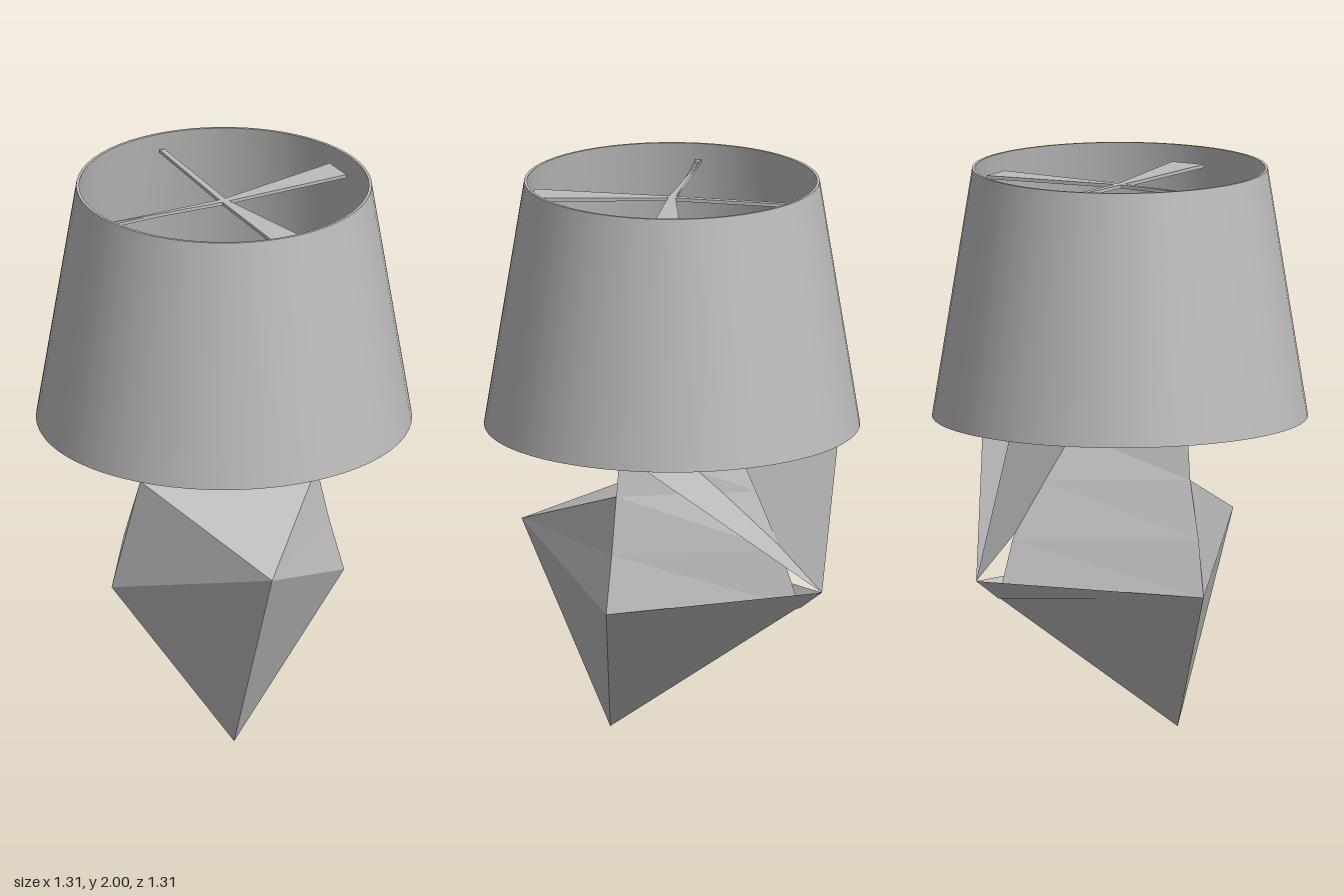
import * as THREE from 'three';

// Flat-faced surface from convex polygons of [x, y, z] corners
function facets(polygons) {
  const pos = [];
  for (const p of polygons)
    for (let i = 1; i < p.length - 1; i++) pos.push(...p[0], ...p[i], ...p[i + 1]);
  const g = new THREE.BufferGeometry();
  g.setAttribute('position', new THREE.Float32BufferAttribute(pos, 3));
  g.computeVertexNormals();
  return g;
}

export function createModel() {
  const model = new THREE.Group();
  const grey = new THREE.MeshStandardMaterial({ color: 0xbcbcbc, side: THREE.DoubleSide });
  grey.name = 'grey';
  const add = (name, geometry) => {
    const m = new THREE.Mesh(geometry, grey);
    m.name = name;
    model.add(m);
  };

  // Thin tapered shade, each wall strip its own lathe so the rims stay sharp
  const section = [[0.655, 1.125], [0.515, 2], [0.505, 2], [0.645, 1.125], [0.655, 1.125]];
  for (let i = 0; i < 4; i++)
    add(['shadeOuter', 'shadeTopRim', 'shadeInner', 'shadeBottomRim'][i],
      new THREE.LatheGeometry([section[i], section[i + 1]].map(p => new THREE.Vector2(...p)), 64));

  // Four spokes holding the shade: two thin, two flaring outwards
  const spokes = [
    [[-0.08, -0.495], [-0.062, -0.498]],
    [[-0.5, 0.08], [-0.497, 0.102]],
    [[0.45, -0.205], [0.475, -0.09]],
    [[0.19, 0.45], [0.07, 0.485]],
  ];
  for (const [a, b] of spokes) {
    const dx = (a[0] + b[0]) / 2, dz = (a[1] + b[1]) / 2, l = Math.hypot(dx, dz);
    const n = [-dz / l * 0.012, dx / l * 0.012];
    const pts = [[-n[0], -n[1]], a, b, n];
    const shape = new THREE.Shape(pts.map(([x, z]) => new THREE.Vector2(x, -z)));
    const g = new THREE.ExtrudeGeometry(shape, { depth: 0.012, bevelEnabled: false });
    add('shadeSpoke', g.rotateX(-Math.PI / 2).translate(0, 1.93, 0));
  }

  // Corner points of the faceted base
  const tip = [-0.04, 0, 0.245], front = [0, 0.73, 0.56], back = [0.11, 0.6, -0.6];
  const L = [[-0.41, 0.53, 0], [-0.37, 0.73, 0.015], [-0.315, 0.93, 0.03], [-0.285, 1.11, 0.045]];
  const R = [[0.41, 0.53, 0.09], [0.355, 0.73, 0.09], [0.31, 0.93, 0.09], [0.27, 1.11, 0.09]];
  const C = [[0.09, 0.53, -0.51], [0.09, 0.73, -0.44], [0.07, 0.93, -0.34], [0.06, 1.11, -0.25]];

  // Lower pointed foot with its ledge at the back
  add('pointedFoot', facets([
    [tip, front, L[0]], [tip, R[0], front], [tip, back, R[0]], [tip, L[0], back],
    [L[0], C[0], back], [R[0], back, C[0]],
  ]));

  // Tapered three-sided body in three bands
  const body = [[L[3], R[3], C[3]]];
  for (let i = 0; i < 3; i++) {
    body.push([L[i], C[i], C[i + 1]], [L[i], C[i + 1], L[i + 1]]);
    body.push([C[i], R[i], R[i + 1]], [C[i], R[i + 1], C[i + 1]]);
  }
  body.push([L[2], R[2], R[3], L[3]]);
  add('body', facets(body));

  // Beak projecting to the front
  add('frontBeak', facets([
    [L[0], front, L[2]], [L[2], front, R[2]], [front, R[1], R[2]], [front, R[0], R[1]],
  ]));

  // Folded sheet rising at the back into the shade
  const fold = [0.035, 1.13, 0], wingLeft = [0.605, 1.16, -0.06], wingRight = [-0.07, 1.18, -0.6];
  add('backWing', facets([[fold, wingLeft, back], [fold, back, wingRight]]));

  return model;
}
